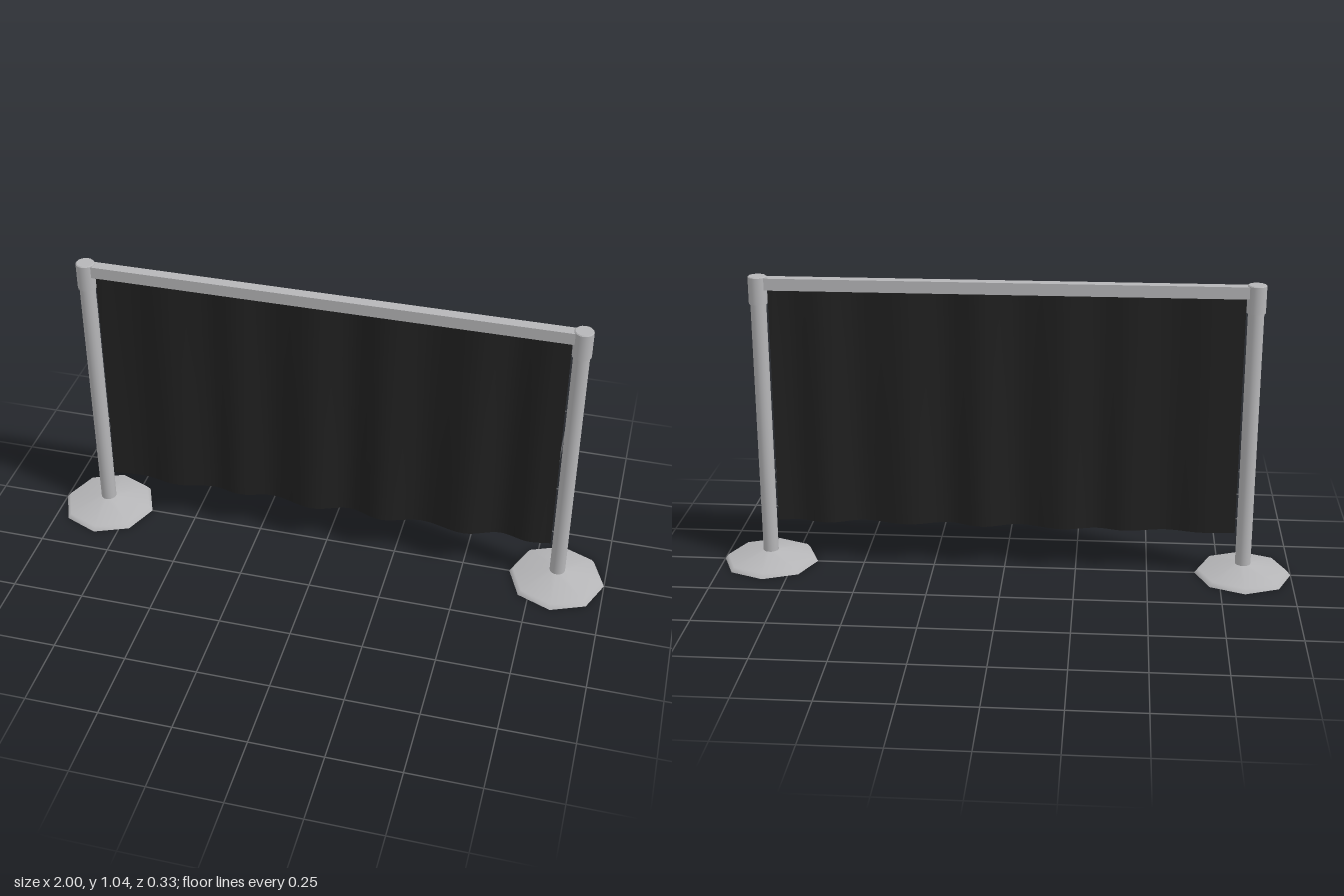
import * as THREE from 'three';

const metal = new THREE.MeshStandardMaterial({ name: 'satin grey metal', color: 0xb6b6b8, side: THREE.DoubleSide });
const fabric = new THREE.MeshStandardMaterial({ name: 'black fabric', color: 0x212121, side: THREE.DoubleSide });

const POST_X = 0.833;

function addMesh(parent, name, geometry, material, x = 0, y = 0, z = 0) {
  const mesh = new THREE.Mesh(geometry, material);
  mesh.name = name;
  mesh.position.set(x, y, z);
  parent.add(mesh);
  return mesh;
}

function createPost(name, x) {
  const post = new THREE.Group();
  post.name = name;
  post.position.x = x;

  // Hollow eight-sided foot: short rim, then a shallow cone up to the pole
  const footProfile = [[0.167, 0], [0.155, 0.016], [0.027, 0.042]]
    .map(([r, y]) => new THREE.Vector2(r, y));
  addMesh(post, 'foot', new THREE.LatheGeometry(footProfile, 8), metal);

  // Open tube pole
  addMesh(post, 'pole', new THREE.CylinderGeometry(0.027, 0.027, 0.92, 16, 1, true), metal, 0, 0.5);

  // Wider collar that holds the rail
  addMesh(post, 'collar', new THREE.CylinderGeometry(0.032, 0.032, 0.092, 16), metal, 0, 0.991);
  addMesh(post, 'collarBevel', new THREE.CylinderGeometry(0.029, 0.032, 0.003, 16), metal, 0, 1.0385);
  return post;
}

// Cloth hanging in irregular vertical folds
function createCurtainGeometry() {
  const folds = new THREE.CatmullRomCurve3([
    [-0.8, 0], [-0.68, -0.008], [-0.56, 0.014], [-0.42, -0.01], [-0.32, 0.01],
    [-0.2, -0.014], [-0.05, 0.023], [0.08, -0.012], [0.2, 0.023], [0.34, -0.01],
    [0.5, 0.023], [0.62, -0.014], [0.72, 0.01], [0.8, 0],
  ].map(([x, z]) => new THREE.Vector3(x, 0, z)));
  const columns = 78;
  const geometry = new THREE.PlaneGeometry(1.6, 0.85, columns, 4);
  const position = geometry.attributes.position;
  for (let i = 0; i < position.count; i++) {
    const p = folds.getPoint((i % (columns + 1)) / columns);
    const drop = (0.425 - position.getY(i)) / 0.85;
    position.setX(i, p.x);
    position.setZ(i, p.z * (0.6 + 0.4 * drop)); // folds open towards the hem
  }
  geometry.computeVertexNormals();
  return geometry;
}

export function createModel() {
  const model = new THREE.Group();
  model.name = 'barrier';

  model.add(createPost('leftPost', POST_X), createPost('rightPost', -POST_X));

  // Square rail joining the two collars
  addMesh(model, 'rail', new THREE.BoxGeometry(POST_X * 2, 0.041, 0.038), metal, 0, 1.0145);

  // Curtain hung below the rail
  addMesh(model, 'curtain', createCurtainGeometry(), fabric, 0, 0.58);
  return model;
}
